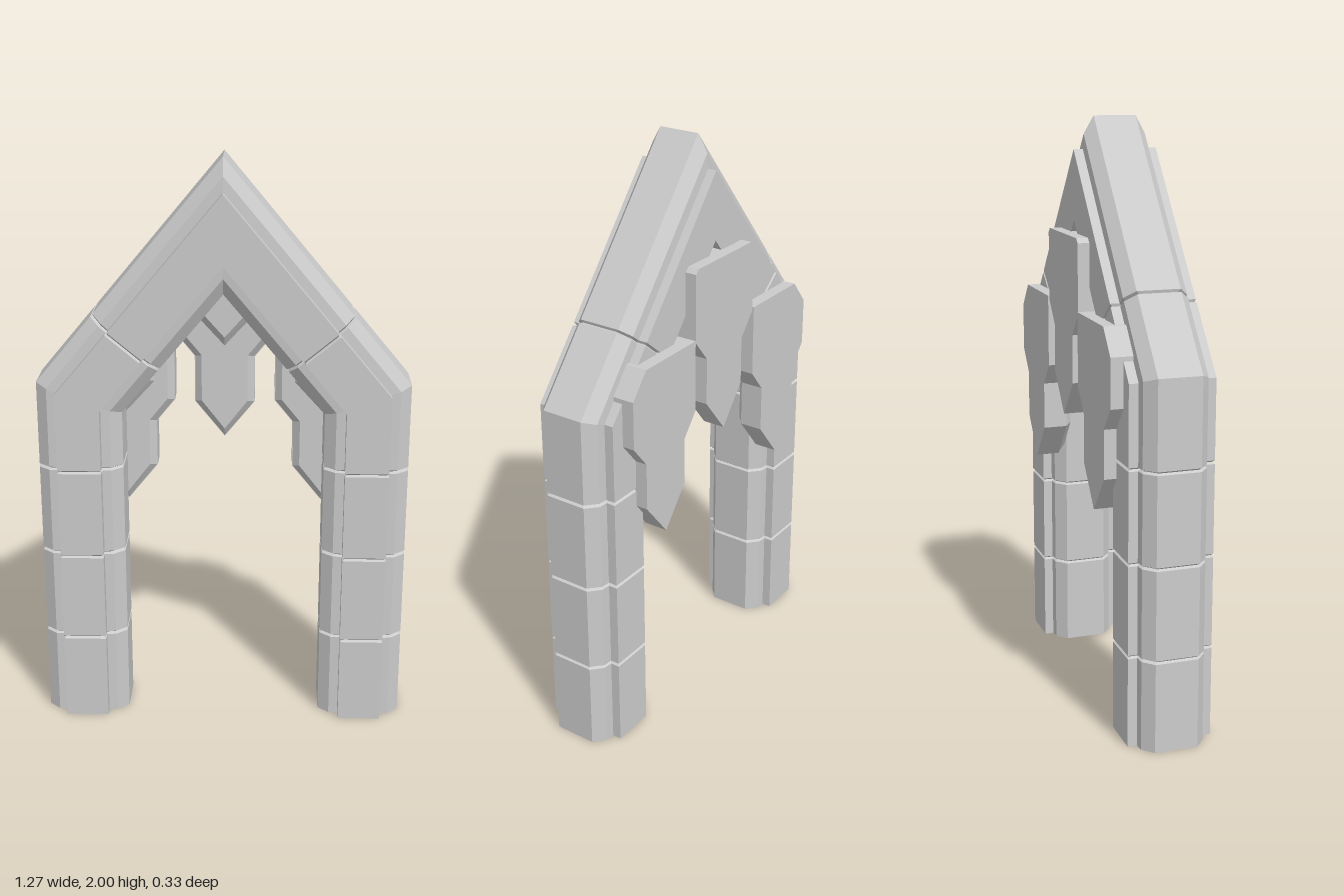
import * as THREE from 'three';

const stone = new THREE.MeshStandardMaterial({ color: 0xcccccc, flatShading: true });

// Moulding cross-section: [distance in from the outer edge, z]
const profile = [
  [0, -0.055], [0, 0.092], [0.038, 0.125], [0.07, 0.128], [0.07, 0.165],
  [0.22, 0.165], [0.22, 0.128], [0.252, 0.125], [0.29, 0.092],
  [0.29, -0.055], [0.252, -0.09], [0.22, -0.093], [0.22, -0.125],
  [0.07, -0.125], [0.07, -0.093], [0.038, -0.09],
];
const HALF = 0.635, APEX = 2, SHOULDER = 1.24;
const run = Math.hypot(HALF, APEX - SHOULDER);
const dir = [-HALF / run, (APEX - SHOULDER) / run]; // up the right-hand slope
const slope = (APEX - SHOULDER) / HALF;
const drop = run / HALF;

// Each station maps an inward distance to a point in the x-y plane
const leg = y => d => [HALF - d, y];
const rafter = s => d => [HALF + dir[0] * s - dir[1] * d, SHOULDER + dir[1] * s + dir[0] * d];
const shoulder = d => [HALF - d, APEX - drop * d - slope * (HALF - d)];
const apex = d => [0, APEX - drop * d];

function ring(station, inset = 0) {
  return profile.map(([d, z]) => {
    const dd = d + (d < 0.145 ? inset : -inset);
    const zz = z + (z < 0.02 ? inset : -inset);
    return [...station(dd), zz];
  });
}

// A shallow V groove between two blocks
function joint(make, t) {
  return [ring(make(t - 0.006)), ring(make(t), 0.008), ring(make(t + 0.006))];
}

function archGeometry() {
  const right = [
    ring(leg(0)),
    ...joint(leg, 0.313), ...joint(leg, 0.627), ...joint(leg, 0.94),
    ring(shoulder),
    ...joint(rafter, 0.305),
  ];
  const left = right.map(r => r.map(([x, y, z]) => [-x, y, z])).reverse();
  const rings = [...right, ring(apex), ...left];
  const pos = [], n = profile.length;
  const tri = (a, b, c) => pos.push(...a, ...b, ...c);
  for (let k = 0; k < rings.length - 1; k++) {
    for (let i = 0; i < n; i++) {
      const j = (i + 1) % n, A = rings[k], B = rings[k + 1];
      tri(A[i], B[i], A[j]);
      tri(A[j], B[i], B[j]);
    }
  }
  // Undersides of both feet
  const first = rings[0], last = rings[rings.length - 1];
  const c = HALF - 0.145;
  for (let i = 0; i < n; i++) {
    const j = (i + 1) % n;
    tri([c, 0, 0.02], first[i], first[j]);
    tri([-c, 0, 0.02], last[j], last[i]);
  }
  const g = new THREE.BufferGeometry();
  g.setAttribute('position', new THREE.Float32BufferAttribute(pos, 3));
  g.computeVertexNormals();
  return g;
}

function plate(name, points, z0, z1, bevel = 0) {
  const shape = new THREE.Shape(points.map(p => new THREE.Vector2(...p)));
  const g = new THREE.ExtrudeGeometry(shape, {
    depth: z1 - z0 - 2 * bevel, bevelEnabled: bevel > 0, bevelSize: bevel,
    bevelThickness: bevel, bevelOffset: -bevel, bevelSegments: 1,
  });
  g.translate(0, 0, z0 + bevel);
  const m = new THREE.Mesh(g, stone);
  m.name = name;
  return m;
}

// Pointed hanging panel: back slab, bevelled face and raised shield
function pendant(name, x, y, back, cutCorner) {
  const group = new THREE.Group();
  group.name = name;
  const top = cutCorner
    ? [[0.17, 1.53], [0.1, 1.615], [-0.17, 1.615]]
    : [[0.17, 1.6], [0.155, 1.615], [-0.155, 1.615], [-0.17, 1.6]];
  const outline = [
    [-0.17, 1.365], [-0.105, 1.285], [-0.105, 1.12], [0, 0.99],
    [0.105, 1.12], [0.105, 1.285], [0.17, 1.365], ...top,
  ];
  const shield = [[0, 1.33], [0.1, 1.44], [0.1, 1.56], [-0.1, 1.56], [-0.1, 1.44]];
  group.add(
    plate('pendantSlab', outline, back, -0.085),
    plate('pendantFace', outline, -0.125, -0.062, 0.025),
    plate('pendantShield', shield, -0.095, -0.035, 0.025),
  );
  group.position.set(x, y, 0);
  return group;
}

export function createModel() {
  const model = new THREE.Group();
  model.name = 'pointedArch';

  const arch = new THREE.Mesh(archGeometry(), stone);
  arch.name = 'archBlocks';
  model.add(arch);

  model.add(pendant('centrePendant', 0, 0, -0.165, false));
  model.add(pendant('leftPendant', 0.345, -0.24, -0.168, true));
  // The right one is turned over in x by rebuilding its outline
  const rightPendant = pendant('rightPendant', -0.345, -0.24, -0.168, true);
  rightPendant.children.forEach(m => {
    const g = m.geometry, p = g.attributes.position;
    for (let i = 0; i < p.count; i++) p.setX(i, -p.getX(i));
    // Swap two corners of each triangle to keep faces outward
    for (let i = 0; i < p.count; i += 3) {
      const a = new THREE.Vector3().fromBufferAttribute(p, i + 1);
      const b = new THREE.Vector3().fromBufferAttribute(p, i + 2);
      p.setXYZ(i + 1, b.x, b.y, b.z);
      p.setXYZ(i + 2, a.x, a.y, a.z);
    }
    g.computeVertexNormals();
  });
  model.add(rightPendant);
  return model;
}
